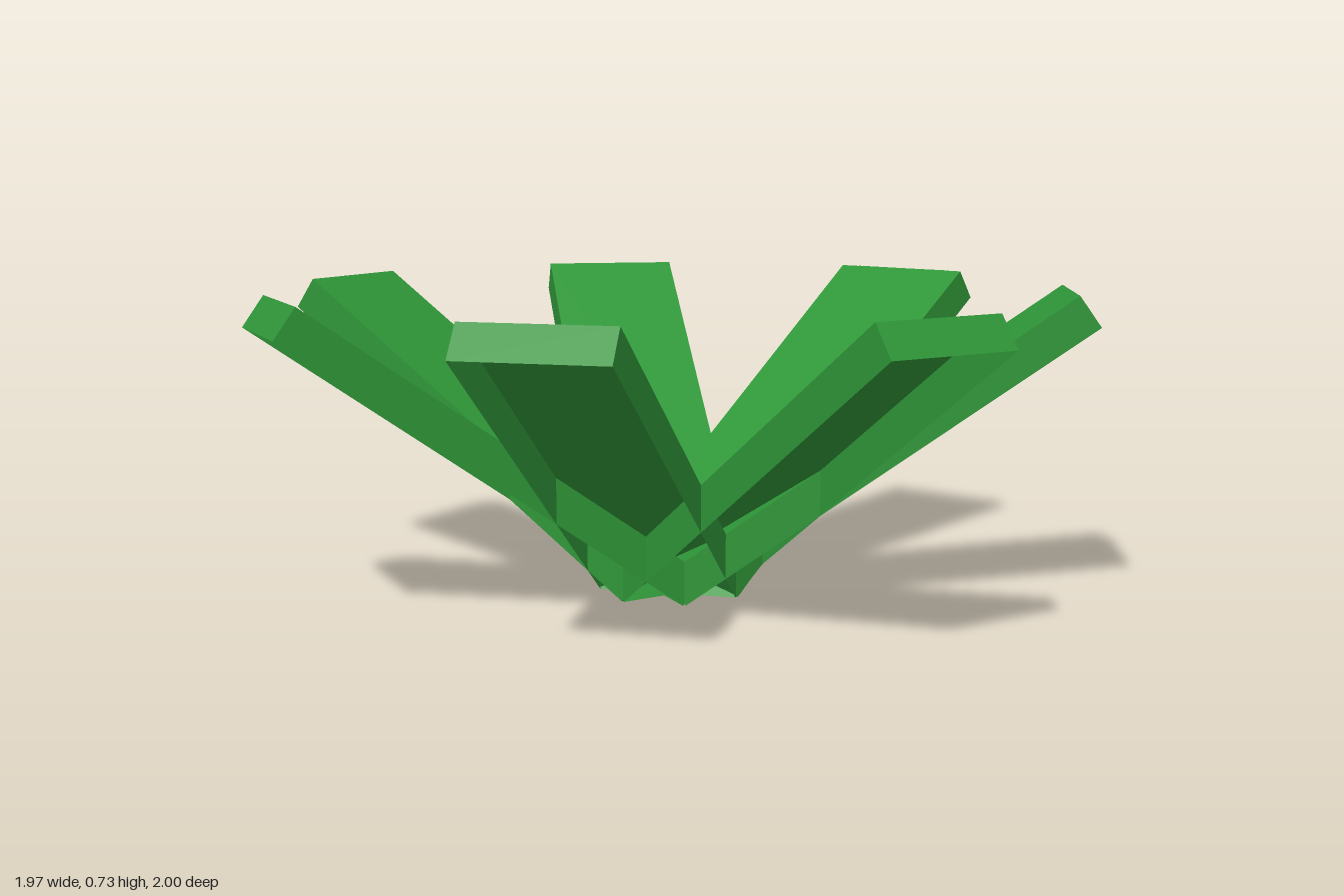
import * as THREE from 'three';

export function createModel() {
  const model = new THREE.Group();
  model.name = 'leafRosette';

  const leafGreen = new THREE.MeshStandardMaterial({ color: 0x2f9638, side: THREE.DoubleSide });
  leafGreen.name = 'leaf green';

  const length = 1.153, thickness = 0.088, width = 0.34;
  const tilt = THREE.MathUtils.degToRad(35);
  const step = THREE.MathUtils.degToRad(51);

  // One hollow leaf, rising outwards from its lower inner edge
  const leafShape = new THREE.BoxGeometry(length, thickness, width);
  const faces = Array.from(leafShape.index.array);
  faces.splice(18, 6); // the underside is open
  leafShape.setIndex(faces);
  leafShape.clearGroups();
  leafShape.translate(length / 2, thickness / 2, 0);
  leafShape.rotateZ(tilt);
  leafShape.translate(0.044, 0, 0);

  // Eight leaves; the last one nearly laps the first
  for (let i = 0; i < 8; i++) {
    const leaf = new THREE.Mesh(leafShape, leafGreen);
    leaf.name = `leaf${i + 1}`;
    leaf.rotation.y = i * step;
    leaf.position.set(-0.012, 0, 0.002);
    model.add(leaf);
  }

  return model;
}
